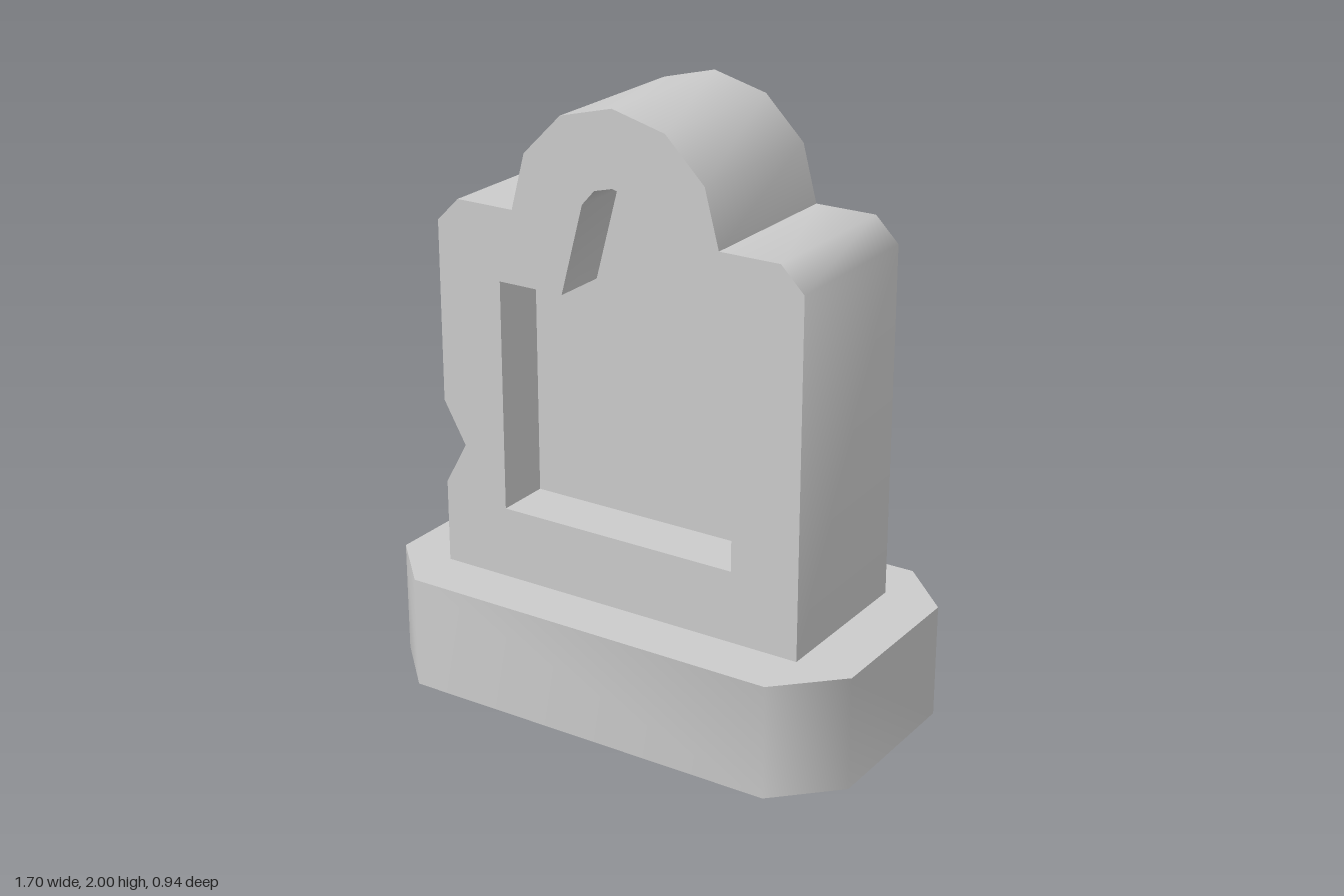
import * as THREE from 'three';
import { toCreasedNormals } from 'three/addons/utils/BufferGeometryUtils.js';

const material = new THREE.MeshStandardMaterial({ color: 0xcccccc });
const CREASE = THREE.MathUtils.degToRad(65);

const toPoints = (pairs) => pairs.map(([x, y]) => new THREE.Vector2(x, y));

// Right half of an outline plus its mirror image, counter-clockwise;
// points on the axis are not repeated.
const mirrorOutline = (half) => [
  ...half,
  ...half.filter(([x]) => x > 0).reverse().map(([x, y]) => [-x, y]),
];

// Extrusion centred on z = 0, soft over shallow corners and sharp at steep ones.
function slab(name, shape, depth) {
  const geometry = new THREE.ExtrudeGeometry(shape, { depth, bevelEnabled: false });
  geometry.translate(0, 0, -depth / 2);
  const mesh = new THREE.Mesh(toCreasedNormals(geometry, CREASE), material);
  mesh.name = name;
  return mesh;
}

export function createModel() {
  const group = new THREE.Group();
  group.name = 'headstone';

  // Octagonal plinth, extruded upward
  const plinthHeight = 0.38;
  const plinthOutline = mirrorOutline([[0.66, -0.47], [0.85, -0.28], [0.85, 0.28], [0.66, 0.47]]);
  const plinth = slab('plinth', new THREE.Shape(toPoints(plinthOutline)), plinthHeight);
  plinth.rotation.x = -Math.PI / 2;
  plinth.position.y = plinthHeight / 2;
  group.add(plinth);

  // Stone outline: chamfered shoulders and a faceted round head
  const headRadius = 0.372, shoulderY = 1.63;
  const half = [[0.66, plinthHeight], [0.66, 1.55], [0.58, shoulderY]];
  for (let i = 0; i < 3; i++) {
    const a = (i * Math.PI) / 6;
    half.push([headRadius * Math.cos(a), shoulderY + headRadius * Math.sin(a)]);
  }
  half.push([0, 2]);
  const stoneOutline = mirrorOutline(half);
  // Chipped notch in one edge, just above the last (bottom) corner
  stoneOutline.splice(-1, 0, [-0.66, 0.945], [-0.58, 0.805], [-0.66, 0.66]);

  // Opening for the recessed panel with a narrow arched top
  const panelOutline = toPoints(mirrorOutline([
    [0.425, 0.62], [0.425, 1.39], [0.19, 1.39], [0.11, 1.69], [0.065, 1.74], [0, 1.757],
  ]));
  const stoneShape = new THREE.Shape(toPoints(stoneOutline));
  stoneShape.holes.push(new THREE.Path(panelOutline));
  group.add(slab('stone', stoneShape, 0.565));

  // Thin core closing the opening, leaving a recess front and back
  group.add(slab('recessedPanel', new THREE.Shape(panelOutline), 0.19));

  return group;
}
